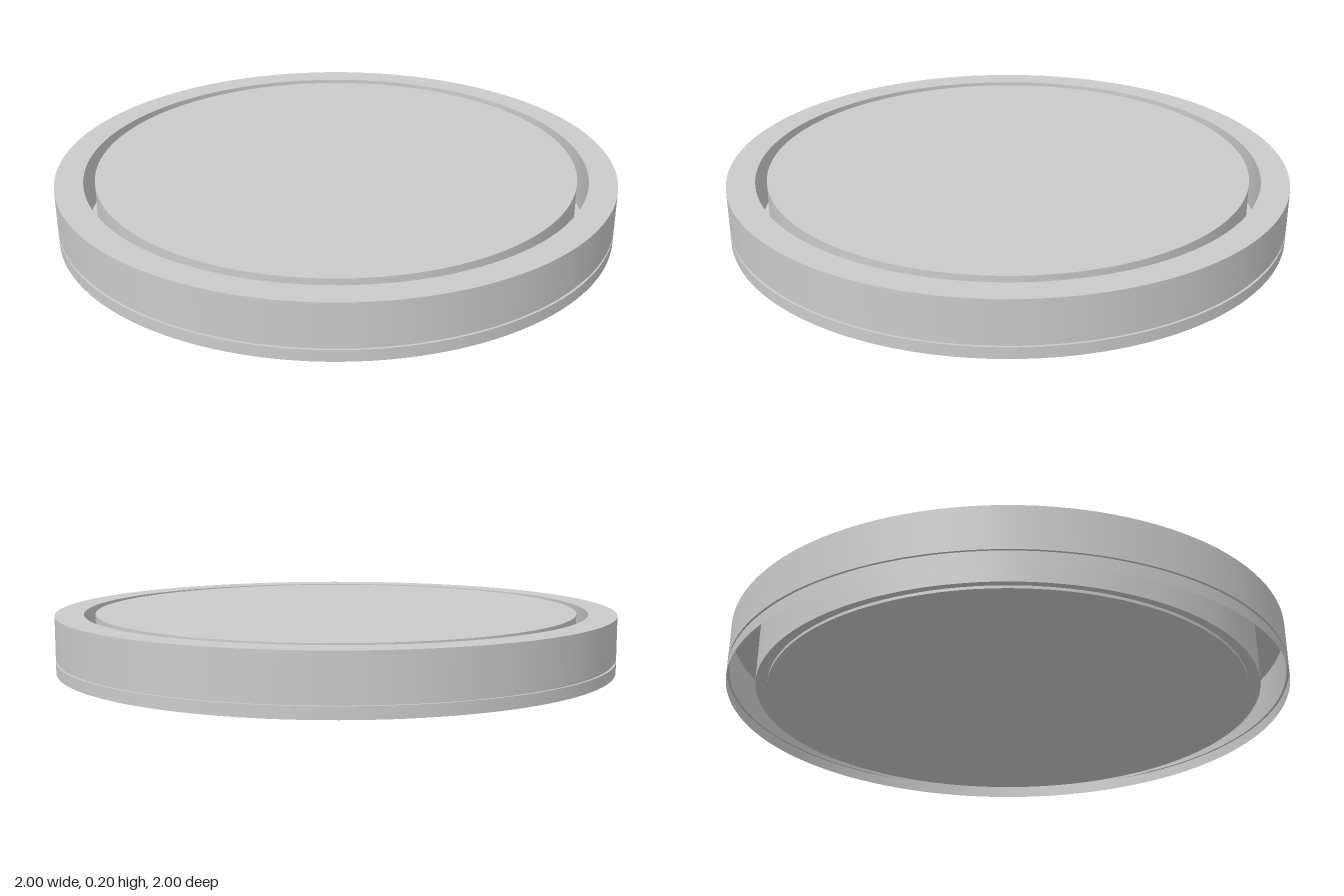
import * as THREE from 'three';
import { mergeGeometries } from 'three/addons/utils/BufferGeometryUtils.js';

const SIDES = 128;
const material = new THREE.MeshStandardMaterial({ color: 0xcccccc, side: THREE.DoubleSide });

// Revolve a profile of [radius, height] points, keeping every profile corner sharp
function revolve(name, profile) {
  const bands = [];
  for (let i = 0; i < profile.length - 1; i++) {
    const pair = [profile[i], profile[i + 1]].map(([r, y]) => new THREE.Vector2(r, y));
    bands.push(new THREE.LatheGeometry(pair, SIDES));
  }
  const mesh = new THREE.Mesh(mergeGeometries(bands), material);
  mesh.name = name;
  return mesh;
}

export function createModel() {
  const model = new THREE.Group();
  model.name = 'roundTray';

  // Hollow rim, open underneath, with a fine groove near its foot
  model.add(revolve('rim', [
    [1, 0], [1, 0.04], [0.992, 0.04], [0.992, 0.05], [1, 0.05],
    [1, 0.2], [0.9, 0.2], [0.9, 0],
  ]));

  // Floor of the narrow channel between rim and disc
  model.add(revolve('channelFloor', [[0.9, 0.01], [0.86, 0.01]]));

  // Solid centre disc, level with the rim
  model.add(revolve('centreDisc', [[0, 0], [0.86, 0], [0.86, 0.2], [0, 0.2]]));

  return model;
}
